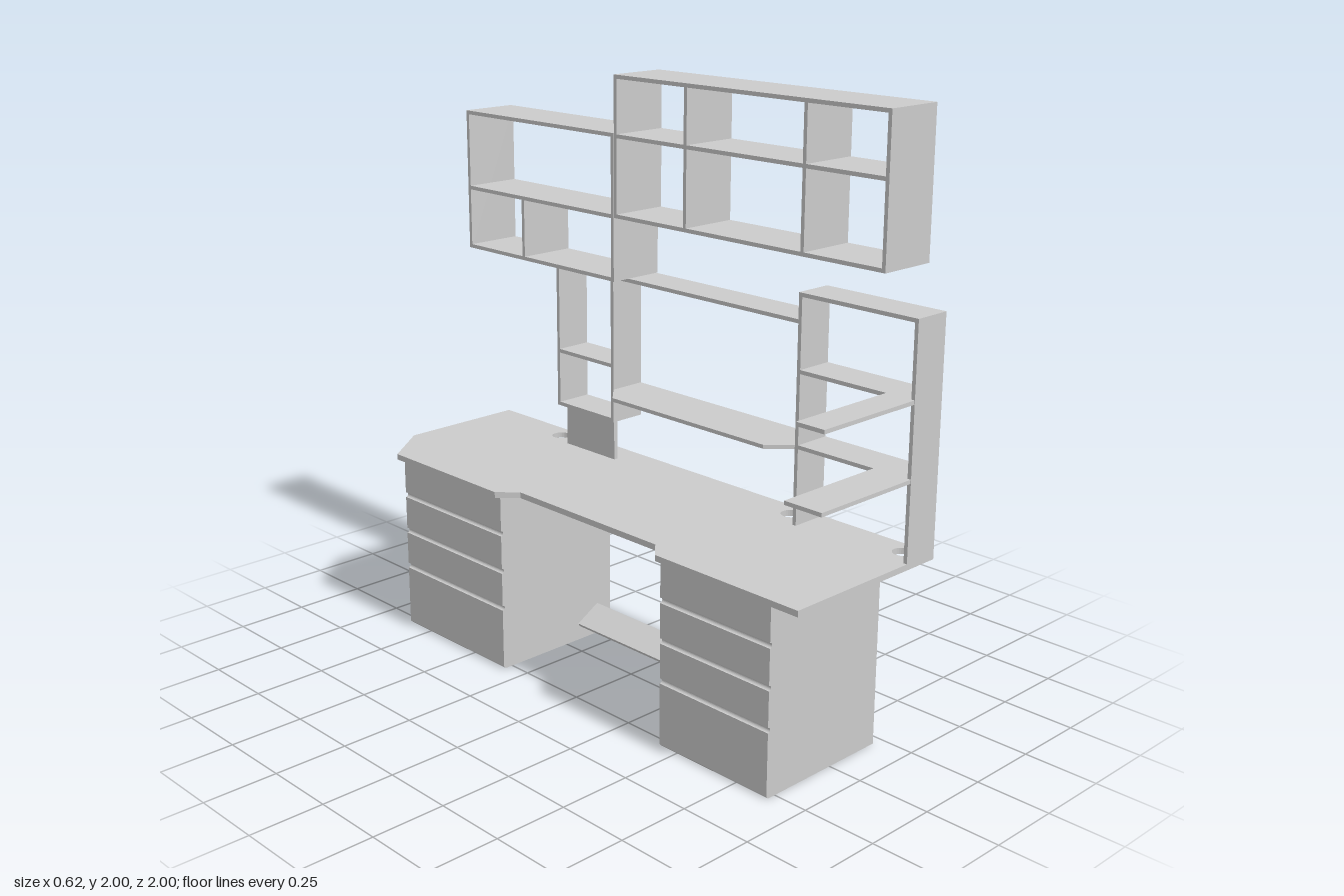
import * as THREE from 'three';

const MAT = new THREE.MeshStandardMaterial({ color: 0xcccccc, flatShading: true });
const T = 0.013; // board thickness

export function createModel() {
  const root = new THREE.Group();

  const add = (name, geo, parent = root) => {
    const m = new THREE.Mesh(geo, MAT);
    m.name = name;
    parent.add(m);
    return m;
  };
  // Box given by its extents on each axis
  const box = (name, x0, x1, y0, y1, z0, z1, parent) =>
    add(name, new THREE.BoxGeometry(x1 - x0, y1 - y0, z1 - z0), parent)
      .position.set((x0 + x1) / 2, (y0 + y1) / 2, (z0 + z1) / 2);
  // Horizontal board cut from an [x, z] outline, with its top at y
  const board = (name, pts, yTop, depth, holes = [], parent = root) => {
    const s = new THREE.Shape(pts.map(([x, z]) => new THREE.Vector2(x, z)));
    for (const [x, z, r] of holes) s.holes.push(new THREE.Path().absarc(x, z, r, 0, Math.PI * 2, true));
    const g = new THREE.ExtrudeGeometry(s, { depth, bevelEnabled: false, curveSegments: 16 });
    g.rotateX(Math.PI / 2);
    add(name, g, parent).position.y = yTop;
  };
  const group = (name) => {
    const g = new THREE.Group();
    g.name = name;
    root.add(g);
    return g;
  };

  // Open frame: two uprights, shelves [topY, z0, z1] and dividers [z, y0, y1]
  const frame = (name, x0, y0, y1, z0, z1, shelves, dividers = []) => {
    const g = group(name);
    box('upright', x0, 0.31, y0, y1, z0, z0 + T, g);
    box('upright', x0, 0.31, y0, y1, z1 - T, z1, g);
    for (const y of shelves) box('shelf', x0, 0.31, y - T, y, z0 + T, z1 - T, g);
    for (const [z, a, b] of dividers) box('divider', x0, 0.31, a, b, z - T / 2, z + T / 2, g);
    return g;
  };

  // Desktop with cut corners, a knee recess and cable holes
  board('desktop', [
    [0.31, -1], [0.31, 1], [-0.31, 1], [-0.31, 0.43], [-0.25, 0.37],
    [-0.25, -0.27], [-0.31, -0.33], [-0.31, -0.87], [-0.14, -1],
  ], 0.65, 0.02, [[0.25, 0.93, 0.033], [0.25, 0.48, 0.033], [0.25, -0.63, 0.033]]);

  // Drawer cabinets: side profile with round finger grooves on the front
  const cabinet = (z0, z1) => {
    const s = new THREE.Shape();
    const xf = -0.287, r = 0.009;
    s.moveTo(0.21, 0.63);
    s.lineTo(xf, 0.63);
    for (const y of [0.495, 0.36, 0.225]) {
      s.lineTo(xf, y + r);
      s.absarc(xf, y, r, Math.PI / 2, -Math.PI / 2, true);
    }
    s.lineTo(xf, 0.008);
    s.lineTo(xf + 0.008, 0);
    s.lineTo(0.21, 0);
    const g = new THREE.ExtrudeGeometry(s, { depth: z1 - z0, bevelEnabled: false, curveSegments: 6 });
    add('drawerCabinet', g).position.z = z0;
  };
  cabinet(0.43, 0.88);
  cabinet(-0.86, -0.33);

  // Tilted footrest between the cabinets
  const foot = add('footrest', new THREE.BoxGeometry(0.105, T, 0.76));
  foot.position.set(0.105, 0.082, 0.05);
  foot.rotation.z = Math.PI / 6;

  // Tall shelf tower with L-shaped shelves reaching over the desk
  const tower = frame('shelfTower', 0.18, 0.65, 1.403, 0.549, 1, [1.403]);
  for (const [y, zArm] of [[1.16, 0.895], [0.917, 0.86]]) {
    board('cornerShelf', [
      [0.31, 0.549 + T], [0.31, 0.999], [-0.22, 0.999], [-0.22, zArm], [0.18, zArm], [0.18, 0.549 + T],
    ], y, T, [], tower);
  }

  // Narrow shelf unit on a short upright panel
  frame('narrowShelfUnit', 0.18, 0.797, 1.318, -0.566, -0.276, [1.318, 1.005, 0.81]);
  box('supportPanel', 0.205, 0.22, 0.65, 0.797, -0.545, -0.3);

  // Shelves spanning the two units; the lower one has cut corners
  box('upperSpanShelf', 0.18, 0.31, 1.305, 1.318, -0.276, 0.549);
  board('lowerSpanShelf', [
    [0.31, -0.276], [0.31, 0.549], [0.18, 0.549], [0.11, 0.48], [0.11, -0.206], [0.18, -0.276],
  ], 0.915, T);

  // Wall shelves, one stepped above the other
  frame('highWallShelf', 0.107, 1.535, 2, -0.193, 0.93, [2, 1.81, 1.535 + T],
    [[0.618, 1.535, 2], [0.13, 1.535, 2]]);
  frame('lowWallShelf', 0.107, 1.32, 1.812, -0.954, -0.195, [1.812, 1.545, 1.32 + T],
    [[-0.655, 1.32, 1.54]]);

  return root;
}
